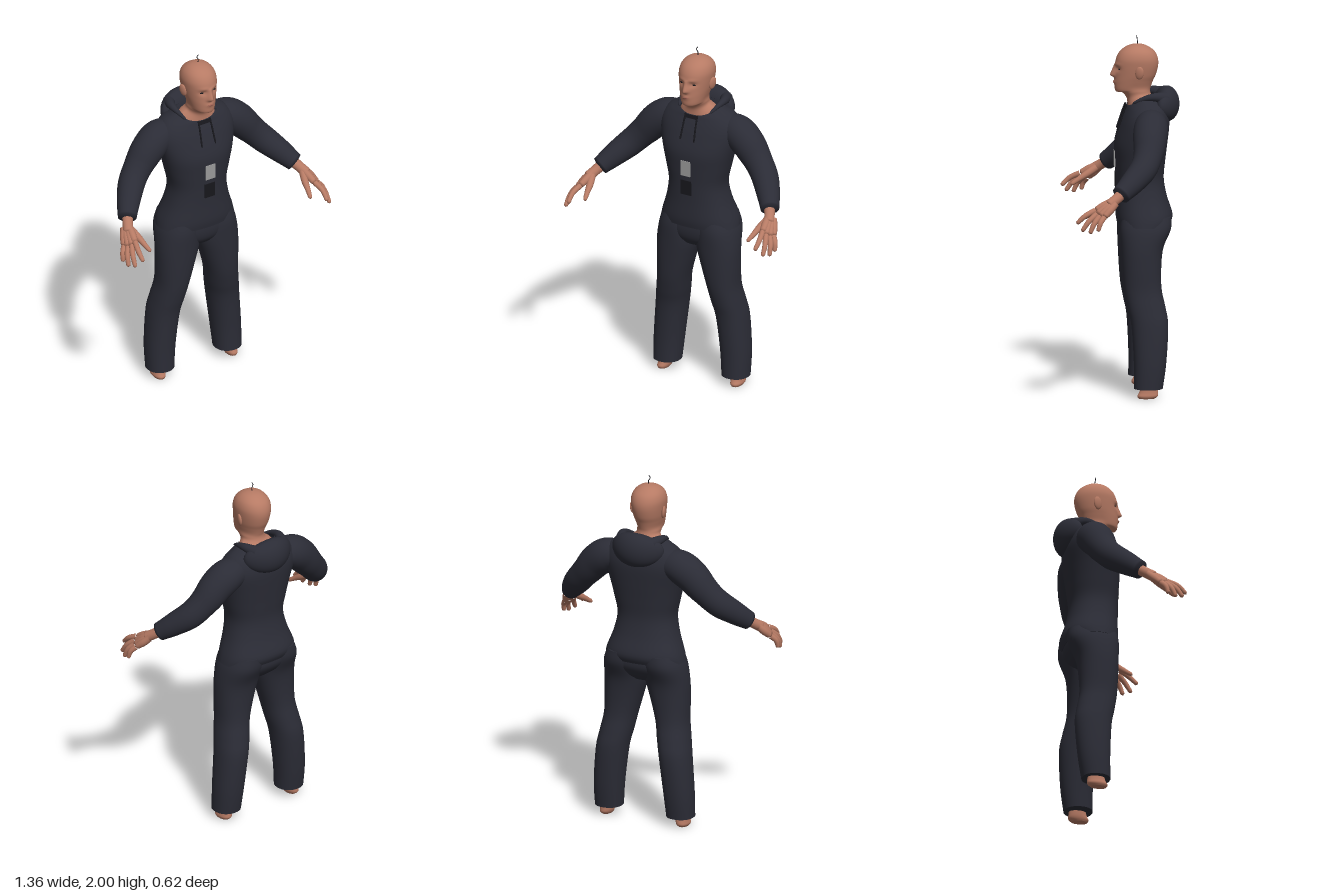
import * as THREE from 'three';
import { mergeVertices } from 'three/addons/utils/BufferGeometryUtils.js';

const mat = (name, color) => Object.assign(new THREE.MeshStandardMaterial({ color }), { name });

// Smooth interpolation through a list of section rows
function spline(rows, t) {
  const n = rows.length - 1, i = Math.min(n - 1, Math.floor(t)), f = t - i;
  const [a, b, c, d] = [rows[Math.max(0, i - 1)], rows[i], rows[i + 1], rows[Math.min(n, i + 2)]];
  return b.map((v, k) => v + 0.5 * f * (c[k] - a[k]
    + f * (2 * a[k] - 5 * v + 4 * c[k] - d[k] + f * (3 * (v - c[k]) + d[k] - a[k]))));
}

// Loft of upright rounded sections: [y, centre x, half width, front z, back z, front dip]
function loft(rows, { seg = 48, sub = 5, power = 2.2, capBottom = true, capTop = true, shape } = {}) {
  const pos = [], idx = [], n = (rows.length - 1) * sub;
  const curve = (c) => Math.sign(c) * Math.abs(c) ** (2 / power);
  for (let i = 0; i <= n; i++) {
    const [y, cx, hw, zf, zb, dip] = spline(rows, i / sub);
    for (let j = 0; j < seg; j++) {
      const a = (j / seg) * Math.PI * 2, s = Math.sin(a);
      const p = new THREE.Vector3(cx + hw * curve(Math.cos(a)), y - dip * Math.max(0, s),
        (zf + zb) / 2 + ((zf - zb) / 2) * curve(s));
      if (shape) shape(p);
      pos.push(p.x, p.y, p.z);
    }
  }
  for (let i = 0; i < n; i++) for (let j = 0; j < seg; j++) {
    const k = (j + 1) % seg, a = i * seg + j, b = i * seg + k;
    idx.push(a, a + seg, b, b, a + seg, b + seg);
  }
  const cap = (row, flip) => {
    const start = pos.length / 3, r = pos.slice(row * seg * 3, (row + 1) * seg * 3);
    const mid = [0, 1, 2].map((k) => r.reduce((s, v, q) => s + (q % 3 === k ? v : 0), 0) / seg);
    pos.push(...r, ...mid);
    for (let j = 0; j < seg; j++) {
      const a = start + j, b = start + ((j + 1) % seg);
      idx.push(start + seg, flip ? b : a, flip ? a : b);
    }
  };
  if (capBottom) cap(0, false);
  if (capTop) cap(n, true);
  const g = new THREE.BufferGeometry();
  g.setAttribute('position', new THREE.Float32BufferAttribute(pos, 3));
  g.setIndex(idx);
  g.computeVertexNormals();
  return g;
}

// Tube along a smooth path with a changing radius and a rounded end
function limb(points, radii, { seg = 20, steps = 32, round = 0.1 } = {}) {
  const path = new THREE.CatmullRomCurve3(points.map((p) => new THREE.Vector3(...p)));
  let g = new THREE.TubeGeometry(path, steps, 1, seg);
  const p = g.attributes.position, v = new THREE.Vector3();
  for (let i = 0; i <= steps; i++) {
    const u = i / steps, c = path.getPointAt(u);
    let r = spline(radii.map((x) => [x]), u * (radii.length - 1))[0];
    if (u > 1 - round) r *= Math.sqrt(Math.max(0, 1 - ((u - 1 + round) / round) ** 2));
    for (let j = 0; j <= seg; j++) {
      const k = i * (seg + 1) + j;
      v.fromBufferAttribute(p, k).sub(c).multiplyScalar(r).add(c);
      p.setXYZ(k, v.x, v.y, v.z);
    }
  }
  g.deleteAttribute('uv');
  g.deleteAttribute('normal');
  g = mergeVertices(g, 1e-5);
  g.computeVertexNormals();
  return g;
}

export function createModel() {
  const model = new THREE.Group();
  const skin = mat('skin', 0xb67a64);
  const cloth = mat('charcoal cloth', 0x2b2c36);
  const clothOpen = mat('charcoal cloth lining', 0x2b2c36);
  clothOpen.side = THREE.DoubleSide;
  const dark = mat('near black', 0x17171c);
  const grey = mat('badge grey', 0x9a9a9a);
  const lip = mat('lip brown', 0x9a5f52);
  const add = (name, geometry, material, parent = model) => {
    const m = new THREE.Mesh(geometry, material);
    m.name = name;
    parent.add(m);
    return m;
  };
  const ball = (name, material, [x, y, z], [sx, sy, sz]) => {
    const m = add(name, new THREE.SphereGeometry(1, 28, 20), material);
    m.position.set(x, y, z);
    m.scale.set(sx, sy, sz);
    return m;
  };

  // Head and neck, with nose, eye sockets, brow and lips pushed out of the surface
  const bump = (d, w) => Math.exp(-((d / w) ** 2));
  const face = (p) => {
    if (p.z < -0.02 || p.y < 1.68) return;
    const t = (1.84 - p.y) / 0.062;
    const nose = t < 0 ? 0 : t < 1 ? 0.004 + 0.024 * t : 0.028 * bump(t - 1, 0.2);
    p.z += nose * bump(p.x, 0.011 + 0.006 * Math.min(1, Math.max(0, t)));
    p.z -= 0.011 * bump(Math.abs(p.x) - 0.036, 0.02) * bump(p.y - 1.815, 0.014);
    p.z += 0.004 * bump(Math.abs(p.x) - 0.03, 0.03) * bump(p.y - 1.84, 0.01);
    p.z += 0.006 * bump(p.x, 0.022) * bump(p.y - 1.738, 0.012);
  };
  add('headAndNeck', loft([
    [1.615, 0, 0.118, -0.018, -0.18, 0.05], [1.645, 0, 0.1, -0.02, -0.165, 0.045],
    [1.668, 0, 0.068, -0.015, -0.15, 0.02], [1.69, 0, 0.065, 0.012, -0.145, 0.01],
    [1.712, 0, 0.066, 0.046, -0.15, 0.025], [1.745, 0, 0.075, 0.052, -0.162, 0.01],
    [1.78, 0, 0.084, 0.05, -0.178, 0], [1.83, 0, 0.092, 0.048, -0.19, 0],
    [1.87, 0, 0.094, 0.042, -0.188, 0], [1.905, 0, 0.084, 0.024, -0.172, 0],
    [1.93, 0, 0.063, -0.005, -0.142, 0], [1.944, 0, 0.036, -0.038, -0.112, 0],
    [1.95, 0, 0.003, -0.072, -0.078, 0],
  ], { seg: 80, sub: 7, power: 2.1, shape: face }), skin);
  ball('mouth', lip, [0, 1.738, 0.0565], [0.021, 0.005, 0.004]);
  add('hairStrand', limb([[0, 1.94, -0.075], [0.003, 1.965, -0.075], [-0.007, 1.985, -0.073], [0.003, 2, -0.072]],
    [0.003, 0.002, 0.002], { seg: 6 }), dark);

  // Jacket body, hood and chest details
  add('jacketBody', loft([
    [0.95, 0, 0.234, 0.038, -0.252, 0], [1.0, 0, 0.222, 0.045, -0.268, 0],
    [1.1, 0, 0.187, 0.043, -0.237, 0], [1.2, 0, 0.17, 0.045, -0.22, 0],
    [1.3, 0, 0.19, 0.05, -0.228, 0], [1.4, 0, 0.215, 0.052, -0.24, 0],
    [1.5, 0, 0.24, 0.025, -0.25, 0], [1.56, 0, 0.235, 0.005, -0.245, 0.005],
    [1.61, 0, 0.2, -0.01, -0.23, 0.02], [1.64, 0, 0.15, -0.015, -0.2, 0.035],
    [1.66, 0, 0.115, -0.018, -0.18, 0.05],
  ], { seg: 56, power: 2.3, capTop: false }), clothOpen);
  const hood = new THREE.SphereGeometry(1, 40, 28).scale(0.157, 0.097, 0.068);
  const hp = hood.attributes.position;
  for (let i = 0; i < hp.count; i++) hp.setZ(i, hp.getZ(i) + 1.6 * hp.getX(i) ** 2);
  hood.computeVertexNormals();
  add('hood', hood, cloth).position.set(0, 1.613, -0.24);
  const plate = (name, w, h, y, z, material, tilt = 0) => {
    const m = add(name, new THREE.BoxGeometry(w, h, 0.008), material);
    m.position.set(0, y, z);
    m.rotation.x = tilt;
  };
  plate('chestBadge', 0.062, 0.09, 1.31, 0.0515, grey);
  plate('lowerPatch', 0.066, 0.085, 1.192, 0.0455, dark);
  plate('collarTab', 0.075, 0.02, 1.6, -0.008, dark, -0.3);

  // Trouser seat joining the legs
  add('trouserSeat', loft([
    [0.83, 0, 0.1, -0.01, -0.17, 0], [0.87, 0, 0.19, 0.018, -0.215, 0],
    [0.93, 0, 0.225, 0.028, -0.248, 0], [1.02, 0, 0.2, 0.02, -0.24, 0],
  ]), cloth);

  for (const s of [1, -1]) {
    const side = new THREE.Group();
    side.name = s > 0 ? 'leftSide' : 'rightSide';
    model.add(side);
    const at = (pts) => pts.map(([x, y, z]) => [s * x, y, z]);

    // Eyes, brows and ears
    ball('eye', dark, [s * 0.037, 1.814, 0.0265], [0.014, 0.005, 0.006]);
    const ear = ball('ear', skin, [s * 0.094, 1.8, -0.08], [0.011, 0.037, 0.024]);
    ear.rotation.set(-0.15, s * -0.3, s * -0.15);

    // Collar roll and drawstring
    add('collarRoll', limb(at([[0.09, 1.655, -0.23], [0.118, 1.668, -0.16], [0.118, 1.658, -0.1], [0.1, 1.63, -0.04]]),
      [0.035, 0.024, 0.014, 0.007]), cloth, side);
    add('drawstring', limb(at([[0.038, 1.615, -0.012], [0.04, 1.56, 0.009], [0.043, 1.5, 0.028], [0.045, 1.47, 0.038]]),
      [0.005, 0.005, 0.005], { seg: 8 }), dark, side);

    // Sleeve with cuff
    add('sleeve', limb(at([[0.14, 1.53, -0.135], [0.22, 1.52, -0.135], [0.29, 1.475, -0.125], [0.36, 1.4, -0.112],
      [0.43, 1.325, -0.08], [0.5, 1.255, -0.01], [0.56, 1.19, 0.066]]),
    [0.08, 0.095, 0.091, 0.079, 0.074, 0.064, 0.051], { seg: 28, steps: 48, round: 0.01 }), cloth, side);

    // Wrist, palm and fingers
    add('wrist', limb(at([[0.53, 1.22, 0.03], [0.565, 1.18, 0.08], [0.592, 1.145, 0.13]]), [0.034, 0.029, 0.03]), skin, side);
    const knuckles = [[0.594, 1.122, 0.2], [0.612, 1.105, 0.193], [0.628, 1.095, 0.178], [0.638, 1.09, 0.155]];
    const tips = [[0.607, 1.05, 0.305], [0.642, 1.012, 0.278], [0.66, 1.002, 0.235], [0.667, 1.015, 0.19]];
    knuckles.forEach((k, i) => {
      const t = tips[i];
      const mid = k.map((v, q) => (v + t[q]) / 2 + [0.008, 0.008, 0.004][q]);
      add('palm', limb(at([[0.572 + i * 0.008, 1.17 - i * 0.004, 0.105 - i * 0.006], k]),
        [0.019, 0.022, 0.017], { seg: 14, steps: 16 }), skin, side);
      add('finger', limb(at([k, mid, t]), [0.016, 0.0145, 0.0115], { seg: 14, steps: 20 }), skin, side);
    });
    add('thumb', limb(at([[0.572, 1.16, 0.11], [0.552, 1.125, 0.165], [0.54, 1.095, 0.215], [0.528, 1.068, 0.258]]),
      [0.022, 0.02, 0.015, 0.011], { seg: 14 }), skin, side);

    // Trouser leg and foot
    add('trouserLeg', loft([
      [0.055, s * 0.222, 0.078, -0.04, -0.2, 0], [0.2, s * 0.216, 0.084, -0.04, -0.22, 0],
      [0.4, s * 0.196, 0.088, -0.028, -0.232, 0], [0.5, s * 0.178, 0.09, -0.008, -0.218, 0],
      [0.6, s * 0.16, 0.092, 0.01, -0.198, 0], [0.72, s * 0.143, 0.109, 0.02, -0.197, 0],
      [0.83, s * 0.127, 0.123, 0.026, -0.21, 0], [0.93, s * 0.119, 0.117, 0.03, -0.252, 0],
      [1.0, s * 0.108, 0.1, 0.02, -0.255, 0],
    ], { seg: 40 }), cloth, side);
    add('foot', loft([
      [0, s * 0.238, 0.026, -0.065, -0.155, 0], [0.015, s * 0.238, 0.034, -0.058, -0.172, 0],
      [0.04, s * 0.234, 0.034, -0.07, -0.172, 0], [0.1, s * 0.23, 0.032, -0.085, -0.165, 0],
    ], { seg: 28 }), skin, side);
  }
  return model;
}
